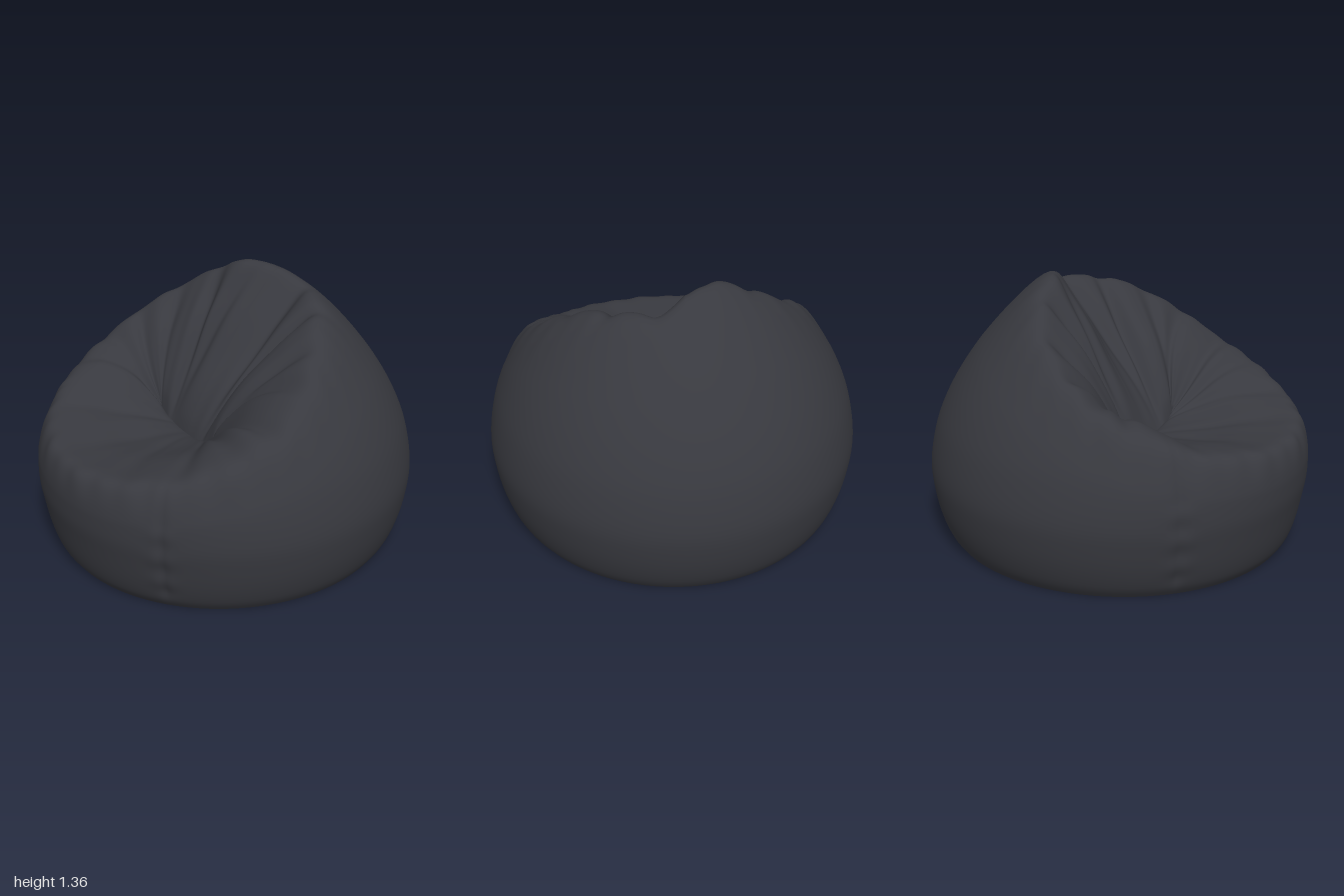
import * as THREE from 'three';

const fabric = new THREE.MeshStandardMaterial({ color: 0x38393f });
fabric.name = 'charcoal fabric';

// Smooth (cubic Hermite) lookup in a small table of [x, y] pairs
function lookup(table, x) {
  const n = table.length;
  let k = 0;
  while (k < n - 2 && x > table[k + 1][0]) k++;
  const slope = (i) => {
    const a = table[Math.max(i - 1, 0)], b = table[Math.min(i + 1, n - 1)];
    return (b[1] - a[1]) / (b[0] - a[0]);
  };
  const [x0, y0] = table[k], [x1, y1] = table[k + 1];
  const d = x1 - x0, t = THREE.MathUtils.clamp((x - x0) / d, 0, 1);
  const t2 = t * t, t3 = t2 * t;
  return y0 * (2 * t3 - 3 * t2 + 1) + y1 * (3 * t2 - 2 * t3)
    + d * (slope(k) * (t3 - 2 * t2 + t) + slope(k + 1) * (t3 - t2));
}

// Radius of the sack by height
const SACK = [[0, 0.895], [0.05, 0.93], [0.15, 0.967], [0.26, 0.99], [0.38, 1], [0.52, 0.98], [0.66, 0.938],
  [0.84, 0.847], [1.05, 0.7], [1.2, 0.565], [1.3, 0.465], [1.42, 0.32]];

// Height of the rim by angle: 0 is the front, positive towards +x
const RIM = [[-180, 1.375], [-155, 1.41], [-130, 1.345], [-110, 1.22], [-95, 1.11], [-82, 0.99], [-72, 0.89],
  [-60, 0.81], [-45, 0.73], [-25, 0.67], [0, 0.645], [25, 0.67], [45, 0.73], [60, 0.81], [72, 0.89],
  [82, 1.0], [95, 1.12], [110, 1.22], [130, 1.28], [150, 1.31], [165, 1.32], [180, 1.375]];

// Creases running from the dip to the rim: angle, depth, width, sideways drift
const CREASES = [[-160, 0.03, 9, 14], [-128, 0.045, 6, -12], [-106, 0.03, 5, 8],
  [-88, 0.04, 4, 10], [-74, 0.025, 4, 6], [-60, 0.03, 4, -8], [-38, 0.016, 5, 8], [-12, 0.01, 6, 8],
  [18, 0.012, 5, -10], [36, 0.02, 4, 8], [56, 0.025, 4, -6], [70, 0.03, 4, -8], [86, 0.035, 4, 10],
  [104, 0.03, 5, -8], [130, 0.045, 6, 12], [160, 0.035, 8, -10]];

const SEAMS = [-47, 33]; // edges of the front panel
const wrap = (a) => ((a + 540) % 360) - 180;
const bell = (x, w) => Math.exp(-(x * x) / (w * w));

// Depth of the folds at an angle, t going from 0 at the dip to 1 at the rim
function folds(deg, t) {
  let d = 0;
  for (const [at, depth, width, drift] of CREASES) {
    d -= depth * bell(wrap(deg - at - drift * (1 - t)), width);
  }
  return d + 0.01 + 0.006 * Math.sin(deg * Math.PI / 30 + 5 * t) * Math.cos(deg * Math.PI / 45 - 7 * t);
}

// Outer wall at angle deg and height y
function wallPoint(deg, y, s) {
  const a = THREE.MathUtils.degToRad(deg);
  let r = lookup(SACK, y);
  for (const seam of SEAMS) {
    const off = wrap(deg - seam);
    const pucker = 0.004 * Math.sin(y * 45) * bell(off, 4);
    r += (pucker - 0.01 * bell(off, 1.4)) * THREE.MathUtils.smoothstep(y, 0.02, 0.12);
  }
  // The front panel bulges most near its top
  const front = Math.max(Math.cos(a), 0);
  r += front * front * (0.016 * bell(y - 0.54, 0.1) - 0.01 * bell(y - 0.22, 0.14));
  const gather = THREE.MathUtils.smoothstep(s, 0.8, 1) * (0.5 + 0.5 * Math.cos(a));
  r += gather * (0.006 * Math.sin(deg * 0.63) + 0.005 * Math.sin(deg * 0.37 + 1));
  return new THREE.Vector3(0.965 * r * Math.sin(a), y, r * Math.cos(a));
}

// One profile: up the wall, over the rim and down into the seat
function profile(deg, wallSteps, seatSteps) {
  const a = THREE.MathUtils.degToRad(deg), sin = Math.sin(a), cos = Math.cos(a);
  const h = lookup(RIM, deg) + 0.2 * folds(deg, 1);
  const pts = [];
  for (let j = 0; j <= wallSteps; j++) pts.push(wallPoint(deg, (h * j) / wallSteps, j / wallSteps));
  const rim = pts[wallSteps];
  const dip = new THREE.Vector3(-0.08 + 0.25 * sin, 0.54 + 0.05 * sin * sin, 0.2 + 0.03 * sin);
  const front = Math.max(cos, 0), back = Math.max(-cos, 0);
  // Puffy arms and front, and a back rest that curls over at the top
  const power = 0.6 * sin * sin + 0.75 * front * front + 0.85 * back * back;
  const arm = 0.08 * bell(Math.abs(deg) - 62, 28);
  for (let j = 1; j <= seatSteps; j++) {
    const t = 1 - j / seatSteps;
    const p = dip.clone().lerp(rim, t);
    const f = folds(deg, t) * Math.pow(Math.sin(Math.PI * t), 0.6);
    p.y = dip.y + (h - dip.y) * Math.pow(t, power) + arm * Math.sin(Math.PI * Math.pow(t, 1.4)) + f;
    p.z += f * 0.8 * back;
    pts.push(p);
  }
  // Round the rim, most of all at the arms
  const soft = 0.5 - 0.3 * back * back - 0.2 * front * front;
  for (let pass = 0; pass < 14; pass++) {
    const old = pts.map((p) => p.clone());
    for (let j = wallSteps - 9; j < wallSteps + 10; j++) {
      const mid = old[j - 1].clone().add(old[j + 1]).multiplyScalar(0.5);
      pts[j].lerpVectors(old[j], mid, soft);
    }
  }
  return pts;
}

function sackGeometry() {
  const around = 360, wallSteps = 36, seatSteps = 34, rows = wallSteps + seatSteps + 1;
  const positions = [], index = [];
  for (let i = 0; i < around; i++) {
    for (const p of profile(-180 + (i * 360) / around, wallSteps, seatSteps)) positions.push(p.x, p.y, p.z);
    const next = (i + 1) % around;
    for (let j = 0; j < rows - 1; j++) {
      const a = i * rows + j, b = next * rows + j;
      index.push(a, b, b + 1, a, b + 1, a + 1);
    }
  }
  const geo = new THREE.BufferGeometry();
  geo.setAttribute('position', new THREE.Float32BufferAttribute(positions, 3));
  geo.setIndex(index);
  geo.computeVertexNormals();
  return geo;
}

export function createModel() {
  const group = new THREE.Group();
  group.name = 'beanBagChair';

  const sack = new THREE.Mesh(sackGeometry(), fabric);
  sack.name = 'sack';
  group.add(sack);

  // Flat underside
  const base = new THREE.Mesh(new THREE.CircleGeometry(0.895, 360), fabric);
  base.name = 'base';
  base.rotation.x = Math.PI / 2;
  base.scale.x = 0.965;
  group.add(base);

  return group;
}
